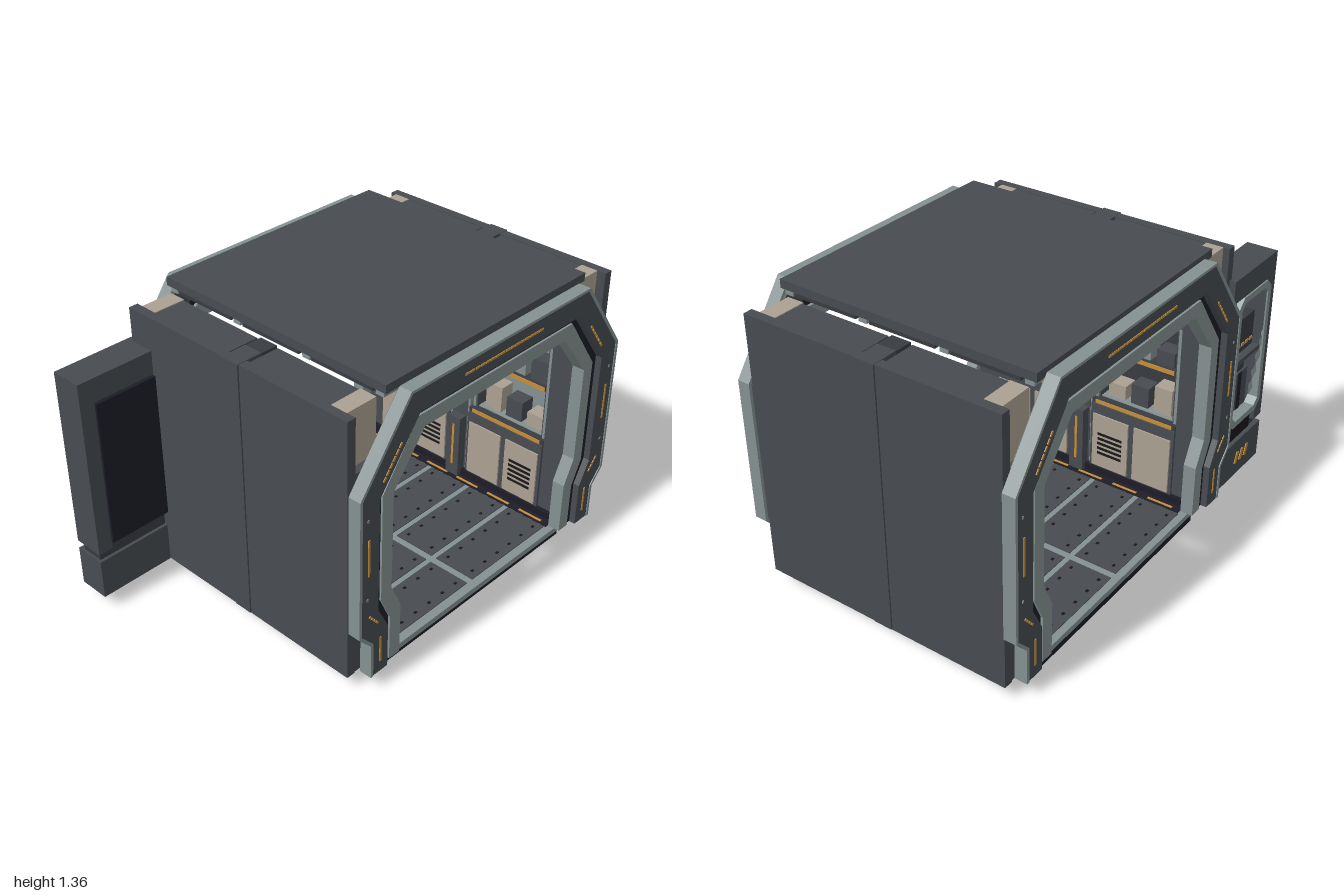
import * as THREE from 'three';

const mat = (name, color) => Object.assign(new THREE.MeshStandardMaterial({ color }), { name });

export function createModel() {
  const dark = mat('dark grey', 0x474b50), light = mat('light grey', 0x849090), navy = mat('navy', 0x1d1c28);
  const beige = mat('beige', 0xaba092), orange = mat('orange', 0xc58d38), black = mat('black', 0x17171b);
  const mid = mat('charcoal', 0x383b40);

  const model = new THREE.Group();
  model.name = 'corridorModule';
  const root = new THREE.Group();
  root.name = 'body';
  root.position.x = 0.177;
  model.add(root);

  const group = (name, parent = root) => {
    const g = new THREE.Group();
    g.name = name;
    parent.add(g);
    return g;
  };
  const add = (parent, name, geo, m) => {
    const mesh = new THREE.Mesh(geo, m);
    mesh.name = name;
    parent.add(mesh);
    return mesh;
  };
  // Box given by its extents
  const box = (parent, name, m, x0, x1, y0, y1, z0, z1) => {
    const b = add(parent, name, new THREE.BoxGeometry(Math.abs(x1 - x0), y1 - y0, z1 - z0), m);
    b.position.set((x0 + x1) / 2, (y0 + y1) / 2, (z0 + z1) / 2);
    return b;
  };
  // Arch ring between two half profiles, open at the bottom
  const arch = (parent, name, m, outer, inner, z0, z1) => {
    const full = (h) => [...h, ...h.slice().reverse().map(([x, y]) => [-x, y])];
    const pts = [...full(outer), ...full(inner).reverse()].map(([x, y]) => new THREE.Vector2(x, y));
    const geo = new THREE.ExtrudeGeometry(new THREE.Shape(pts), { depth: z1 - z0, bevelEnabled: false });
    geo.translate(0, 0, z0);
    return add(parent, name, geo, m);
  };

  // End portals
  const P = {
    edge: [[0.747, 0.075], [0.747, 0.245], [0.815, 0.32], [0.815, 0.985], [0.55, 1.34]],
    face: [[0.733, 0.075], [0.733, 0.25], [0.801, 0.325], [0.801, 0.981], [0.543, 1.328]],
    band: [[0.645, 0.075], [0.645, 0.29], [0.704, 0.405], [0.704, 0.945], [0.492, 1.227]],
    liner: [[0.612, 0.075], [0.612, 0.3], [0.667, 0.42], [0.667, 0.93], [0.48, 1.193]],
    hole: [[0.55, 0.075], [0.55, 0.33], [0.607, 0.45], [0.607, 0.915], [0.44, 1.13]],
  };
  for (const turn of [0, Math.PI]) {
    const f = group(turn ? 'backPortal' : 'frontPortal');
    f.rotation.y = turn;
    arch(f, 'portalEdge', light, P.edge, P.face, 0.615, 0.674);
    arch(f, 'portalFace', dark, P.face, P.band, 0.605, 0.67);
    arch(f, 'portalRecess', navy, P.band, P.liner, 0.605, 0.64);
    arch(f, 'portalLiner', light, P.liner, P.hole, 0.59, 0.65);
    // Lamp strips, solid or made of dashes
    const strip = (dashes, x0, y0, x1, y1) => {
      const len = Math.hypot(x1 - x0, y1 - y0) / dashes * (dashes > 1 ? 0.85 : 1);
      for (let i = 0; i < dashes; i++) {
        const t = (i + 0.5) / dashes;
        const s = add(f, 'lightStrip', new THREE.BoxGeometry(len, 0.01, 0.006), orange);
        s.position.set(x0 + (x1 - x0) * t, y0 + (y1 - y0) * t, 0.67);
        s.rotation.z = Math.atan2(y1 - y0, x1 - x0);
      }
    };
    strip(16, -0.243, 1.275, 0.243, 1.275);
    for (const s of [-1, 1]) {
      strip(6, s * 0.69, 1.01, s * 0.59, 1.145);
      strip(1, s * 0.762, 0.61, s * 0.762, 0.785);
      strip(4, s * 0.705, 0.342, s * 0.757, 0.405);
      strip(1, s * 0.69, 0.13, s * 0.69, 0.26);
      for (const y of [0.49, 0.87]) box(f, 'bolt', light, s * 0.764, s * 0.772, y, y + 0.012, 0.668, 0.673);
    }
  }

  // Floor: base slab, light bed and tiles in two columns of five
  const floor = group('floor');
  box(floor, 'floorBase', navy, -0.608, 0.608, 0, 0.05, -0.615, 0.602);
  box(floor, 'floorBed', light, -0.6, 0.6, 0.045, 0.063, -0.6, 0.6);
  for (const z of [-0.606, 0.602]) box(floor, 'threshold', light, -0.6, 0.6, 0.04, 0.068, z - 0.016, z + 0.016);
  for (let r = 0; r < 5; r++) for (let c = 0; c < 2; c++) {
    const x = c ? 0.018 : -0.54, z = -0.585 + r * 0.237;
    box(floor, 'floorTile', dark, x, x + 0.522, 0.055, 0.067, z, z + 0.21);
    for (let i = 0; i < 6; i++) for (const k of [0.035, 0.175])
      box(floor, 'tileSlot', black, x + 0.035 + i * 0.088, x + 0.051 + i * 0.088, 0.064, 0.0685, z + k - 0.006, z + k + 0.006);
  }
  for (const s of [-1, 1]) {
    box(floor, 'floorGutter', navy, s * 0.545, s * 0.6, 0.055, 0.067, -0.58, 0.58);
    for (let i = 0; i < 6; i++)
      box(floor, 'floorLight', orange, s * 0.556, s * 0.568, 0.062, 0.07, -0.54 + i * 0.19, -0.41 + i * 0.19);
  }

  // Roof: slab, cross beams and vented ceiling panels
  const roof = group('roof');
  box(roof, 'roofSlab', dark, -0.608, 0.608, 1.325, 1.363, -0.615, 0.602);
  for (const z of [0.565, 0.187, -0.2, -0.578])
    box(roof, 'roofBeam', light, -0.6, 0.6, 1.3, 1.335, z - 0.02, z + 0.02);
  for (let r = 0; r < 3; r++) {
    const z = -0.555 + r * 0.381;
    box(roof, 'ceilingTray', mid, -0.604, 0.604, 1.306, 1.327, z + 0.012, z + 0.325);
    for (let c = 0; c < 2; c++) {
      const x = -0.585 + c * 0.595;
      box(roof, 'ceilingPanel', beige, x, x + 0.41, 1.302, 1.308, z + 0.03, z + 0.31);
      box(roof, 'ceilingHatch', black, x + 0.42, x + 0.575, 1.302, 1.308, z + 0.03, z + 0.31);
      for (let i = 0; i < 6; i++)
        box(roof, 'ceilingVent', black, x + 0.09 + i * 0.04, x + 0.11 + i * 0.04, 1.299, 1.303, z + 0.06, z + 0.13);
    }
  }

  // Side walls, s = -1 or 1
  for (const s of [-1, 1]) {
    const w = group(s > 0 ? 'leftWall' : 'rightWall');
    const wb = (name, m, a, b, ...r) => box(w, name, m, s * a, s * b, ...r);
    wb('outerPlate', dark, 0.765, 0.808, 0.07, 1.3, -0.615, 0.602);
    wb('wallBase', navy, 0.59, 0.77, 0.068, 0.1, -0.6, 0.59);
    wb('outerRib', dark, 0.69, 0.815, 0.075, 1.302, -0.053, 0.037);
    wb('ribTop', mid, 0.608, 0.69, 1.0, 1.3, -0.053, 0.037);
    wb('pillar', dark, 0.612, 0.69, 0.07, 1.0, -0.053, 0.037);
    wb('pillarFoot', dark, 0.565, 0.615, 0.07, 0.4, -0.045, 0.029);
    wb('pillarLight', orange, 0.562, 0.566, 0.13, 0.36, -0.014, -0.002);
    wb('pillarLight', orange, 0.609, 0.613, 0.5, 0.9, -0.014, -0.002);
    for (const z of [-0.066, 0.037]) wb('pillarTrim', light, 0.612, 0.77, 0.07, 1.27, z, z + 0.011);
    // End posts, capped below the portal shoulders
    for (const [z0, z1, c0, c1] of [[-0.585, -0.505, -0.61, -0.585], [0.48, 0.56, 0.56, 0.598]]) {
      wb('endPost', beige, 0.612, 0.766, 1.0, 1.3, z0, z1);
      wb('endPostBase', dark, 0.612, 0.766, 0.07, 1.0, z0, z1);
      wb('endCap', dark, 0.612, 0.766, 0.07, 1.05, c0, c1);
    }
    // Two bays of cabinet, counter and alcove
    for (const [z0, z1] of [[-0.505, -0.066], [0.048, 0.48]]) {
      wb('cabinet', dark, 0.6, 0.77, 0.07, 0.44, z0, z1);
      wb('counter', mid, 0.607, 0.77, 0.44, 0.465, z0, z1);
      wb('counterTop', light, 0.64, 0.76, 0.46, 0.469, z0 + 0.02, z1 - 0.02);
      wb('counterLight', orange, 0.603, 0.608, 0.443, 0.462, z0 + 0.02, z1 - 0.02);
      wb('alcoveBack', s > 0 ? light : mid, 0.75, 0.77, 0.465, 1.0, z0, z1);
      for (const z of [z0, z1 - 0.03]) {
        wb('alcoveSide', dark, 0.63, 0.75, 0.465, 1.0, z, z + 0.03);
        wb('alcoveTrim', light, 0.625, 0.631, 0.465, 0.95, z + 0.008, z + 0.022);
      }
      wb('header', dark, 0.615, 0.77, 0.95, 1.296, z0, z1);
      wb('headerLight', orange, 0.611, 0.616, 0.965, 0.977, z0 + 0.05, z1 - 0.05);
      const half = (z1 - z0) / 2;
      for (const d of [0, 1]) {
        const a = z0 + 0.015 + d * half, b = a + half - 0.03;
        wb('cabinetDoor', beige, 0.592, 0.601, 0.11, 0.39, a, b);
        if (d) for (let i = 0; i < 5; i++)
          wb('doorVent', black, 0.589, 0.593, 0.18 + i * 0.026, 0.192 + i * 0.026, a + 0.03, b - 0.03);
      }
    }
    // Stores on the shelves
    const shelf = (z0, z1) => {
      wb('shelf', mid, 0.64, 0.75, 0.7, 0.72, z0 + 0.035, z1 - 0.035);
      wb('shelfEdge', orange, 0.635, 0.641, 0.7, 0.72, z0 + 0.035, z1 - 0.035);
      for (let i = 0; i < 3; i++) {
        wb('canister', i % 2 ? light : dark, 0.66, 0.74, 0.72, 0.79 + 0.02 * i, z0 + 0.05 + i * 0.12, z0 + 0.14 + i * 0.12);
        wb('crate', i % 2 ? dark : beige, 0.66, 0.74, 0.468, 0.6 - 0.03 * i, z0 + 0.05 + i * 0.12, z0 + 0.14 + i * 0.12);
      }
    };
    if (s < 0) shelf(-0.5, -0.07);
    else {
      shelf(0.052, 0.475);
      wb('storageCrate', navy, 0.6, 0.74, 0.55, 0.77, -0.4, -0.17);
      wb('crateStripe', orange, 0.597, 0.601, 0.64, 0.65, -0.38, -0.19);
    }
  }

  // Jointed service arm in the front right bay
  const arm = group('serviceArm');
  const joints = [[-0.69, 0.47, 0.25], [-0.68, 0.63, 0.25], [-0.63, 0.76, 0.3], [-0.61, 0.89, 0.25], [-0.6, 0.82, 0.17], [-0.6, 0.73, 0.16]]
    .map((p) => new THREE.Vector3(...p));
  joints.forEach((p, i) => {
    add(arm, 'armJoint', new THREE.SphereGeometry(0.025, 12, 8), i % 2 ? mid : dark).position.copy(p);
    if (!i) return;
    const d = p.clone().sub(joints[i - 1]);
    const link = add(arm, 'armLink', new THREE.CylinderGeometry(0.017, 0.021, d.length(), 10), i === 1 ? navy : orange);
    link.position.copy(p).addScaledVector(d, -0.5);
    link.quaternion.setFromUnitVectors(new THREE.Vector3(0, 1, 0), d.normalize());
  });

  // Control booth outside the back portal
  const booth = group('controlBooth');
  const bb = (...a) => box(booth, ...a);
  bb('boothBase', dark, -1.177, -0.81, 0.07, 0.26, -0.645, -0.495);
  bb('boothSill', mid, -1.165, -0.81, 0.26, 0.335, -0.62, -0.51);
  bb('boothPost', dark, -1.177, -1.107, 0.3, 1.05, -0.645, -0.495);
  bb('boothTop', dark, -1.177, -0.79, 1.035, 1.145, -0.645, -0.495);
  bb('boothBackPanel', navy, -1.107, -0.8, 0.335, 1.03, -0.53, -0.483);
  bb('boothInnerPost', dark, -0.85, -0.8, 0.335, 1.035, -0.63, -0.53);

  // Chamfered window surround
  const octagon = (C, x0, x1, y0, y1, c) => new C([[x0 + c, y0], [x1 - c, y0], [x1, y0 + c], [x1, y1 - c],
    [x1 - c, y1], [x0 + c, y1], [x0, y1 - c], [x0, y0 + c]].map(([x, y]) => new THREE.Vector2(x, y)));
  const surround = octagon(THREE.Shape, -1.135, -0.84, 0.365, 1.035, 0.04);
  surround.holes.push(octagon(THREE.Path, -1.107, -0.868, 0.395, 1.005, 0.03));
  add(booth, 'windowSurround', new THREE.ExtrudeGeometry(surround, { depth: 0.05, bevelEnabled: false }), light).position.z = -0.652;
  bb('console', mid, -1.1, -0.87, 0.7, 0.87, -0.6, -0.53);
  bb('consoleShelf', dark, -1.107, -0.86, 0.68, 0.7, -0.635, -0.53);
  for (let i = 0; i < 6; i++) bb('consoleLight', orange, -1.09 + i * 0.037, -1.065 + i * 0.037, 0.73, 0.745, -0.604, -0.599);
  bb('locker', dark, -1.06, -0.91, 0.41, 0.6, -0.61, -0.53);
  bb('lockerLid', mid, -1.04, -0.93, 0.6, 0.63, -0.6, -0.53);
  bb('lockerStripe', navy, -1.0, -0.97, 0.41, 0.6, -0.614, -0.609);
  bb('boothVent', black, -1.08, -0.88, 0.275, 0.345, -0.635, -0.619);
  for (let i = 0; i < 3; i++) {
    const slash = bb('warningSlash', orange, -1.06 + i * 0.045, -1.038 + i * 0.045, 0.135, 0.195, -0.649, -0.643);
    slash.rotation.z = 0.35;
  }
  return model;
}
